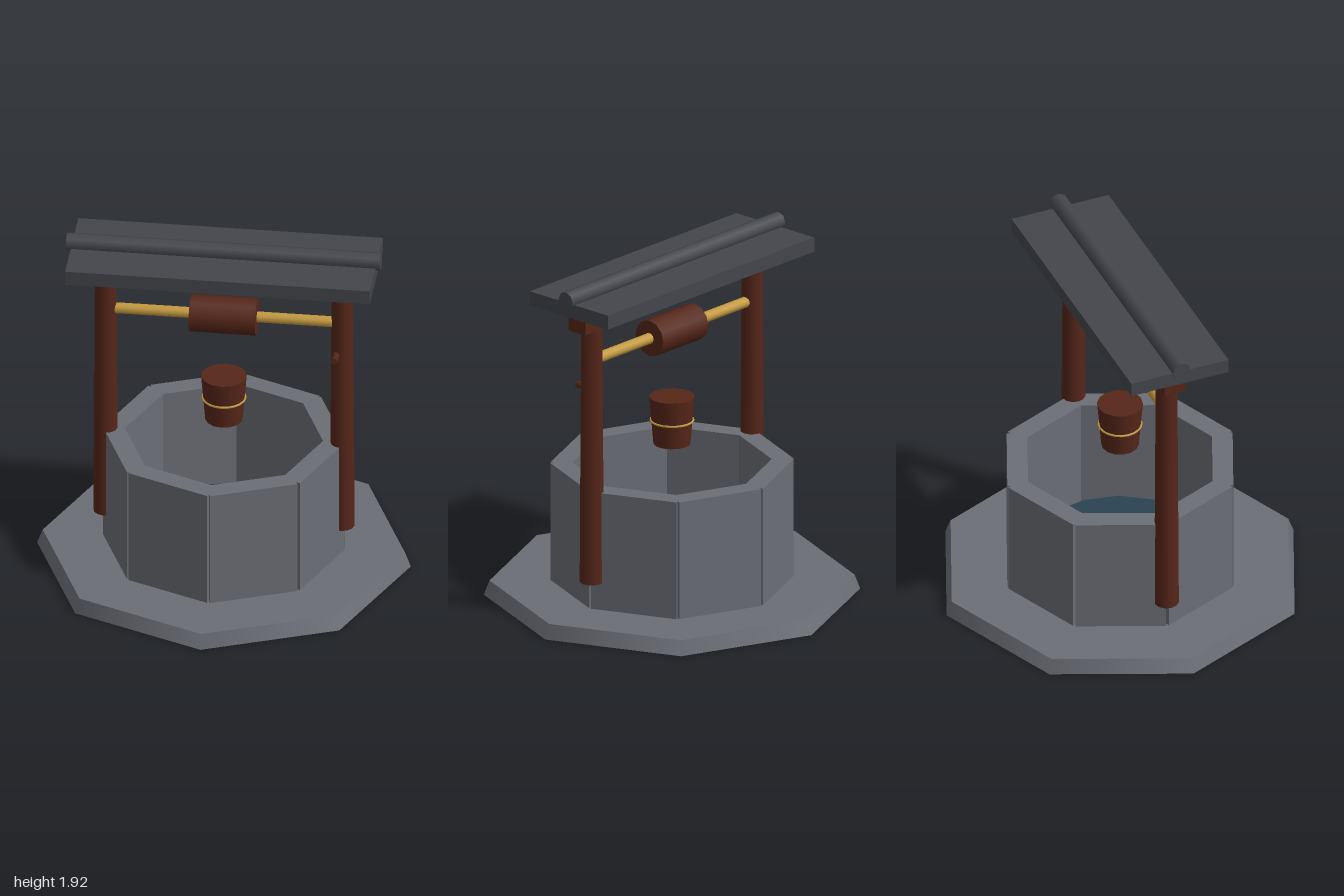
import * as THREE from 'three';

const mat = (color) => new THREE.MeshStandardMaterial({ color });

export function createModel() {
  const model = new THREE.Group();
  const stone = mat(0x6b6e76), slate = mat(0x44464c), wood = mat(0x562619);
  const brass = mat(0xc49a40), waterBlue = mat(0x2a4352);

  const add = (name, geometry, material, x, y, z, parent = model) => {
    const mesh = new THREE.Mesh(geometry, material);
    mesh.name = name;
    mesh.position.set(x, y, z);
    parent.add(mesh);
    return mesh;
  };
  const box = (w, h, d) => new THREE.BoxGeometry(w, h, d);
  const cyl = (top, bottom, h, sides) => new THREE.CylinderGeometry(top, bottom, h, sides);
  const bar = (r, length, sides) => cyl(r, r, length, sides).rotateZ(Math.PI / 2);

  // Octagonal plinth and the water inside the shaft
  add('base', cyl(0.97, 1, 0.08, 8), stone, 0, 0.04, 0);
  add('water', cyl(0.49, 0.49, 0.07, 16), waterBlue, 0, 0.115, 0);

  // Eight stone slabs, leaving a narrow groove at each corner
  const wall = new THREE.Group();
  wall.name = 'wellWall';
  model.add(wall);
  for (let i = 0; i < 8; i++) {
    const a = (i + 0.5) * Math.PI / 4;
    const slab = add('wallSlab', box(0.48, 0.66, 0.11), stone,
      Math.sin(a) * 0.545, 0.41, Math.cos(a) * 0.545, wall);
    slab.rotation.y = a;
  }

  // Tapered posts either side of the wall
  for (const side of [-1, 1]) {
    add(side > 0 ? 'leftPost' : 'rightPost', cyl(0.058, 0.066, 1.44, 12), wood, side * 0.633, 0.95, 0);
  }

  // Beam, flat roof and ridge roll
  add('crossBeam', box(1.5, 0.105, 0.12), wood, 0, 1.718, 0);
  add('roof', box(1.63, 0.08, 0.56), slate, 0, 1.81, 0);
  add('roofRidge', bar(0.05, 1.68, 8), slate, 0, 1.87, 0);

  // Windlass
  add('axle', bar(0.03, 1.2, 10), brass, 0, 1.48, 0);
  add('drum', bar(0.1, 0.355, 12), wood, 0, 1.48, 0);
  add('handlePeg', cyl(0.019, 0.019, 0.12, 8).rotateX(Math.PI / 2), wood, 0.607, 1.307, 0.065);

  // Bucket with its hoop
  add('bucket', cyl(0.122, 0.1, 0.265, 14), wood, 0, 0.973, 0);
  add('bucketHoop', new THREE.TorusGeometry(0.114, 0.006, 6, 20).rotateX(Math.PI / 2), brass, 0, 0.972, 0);

  return model;
}
